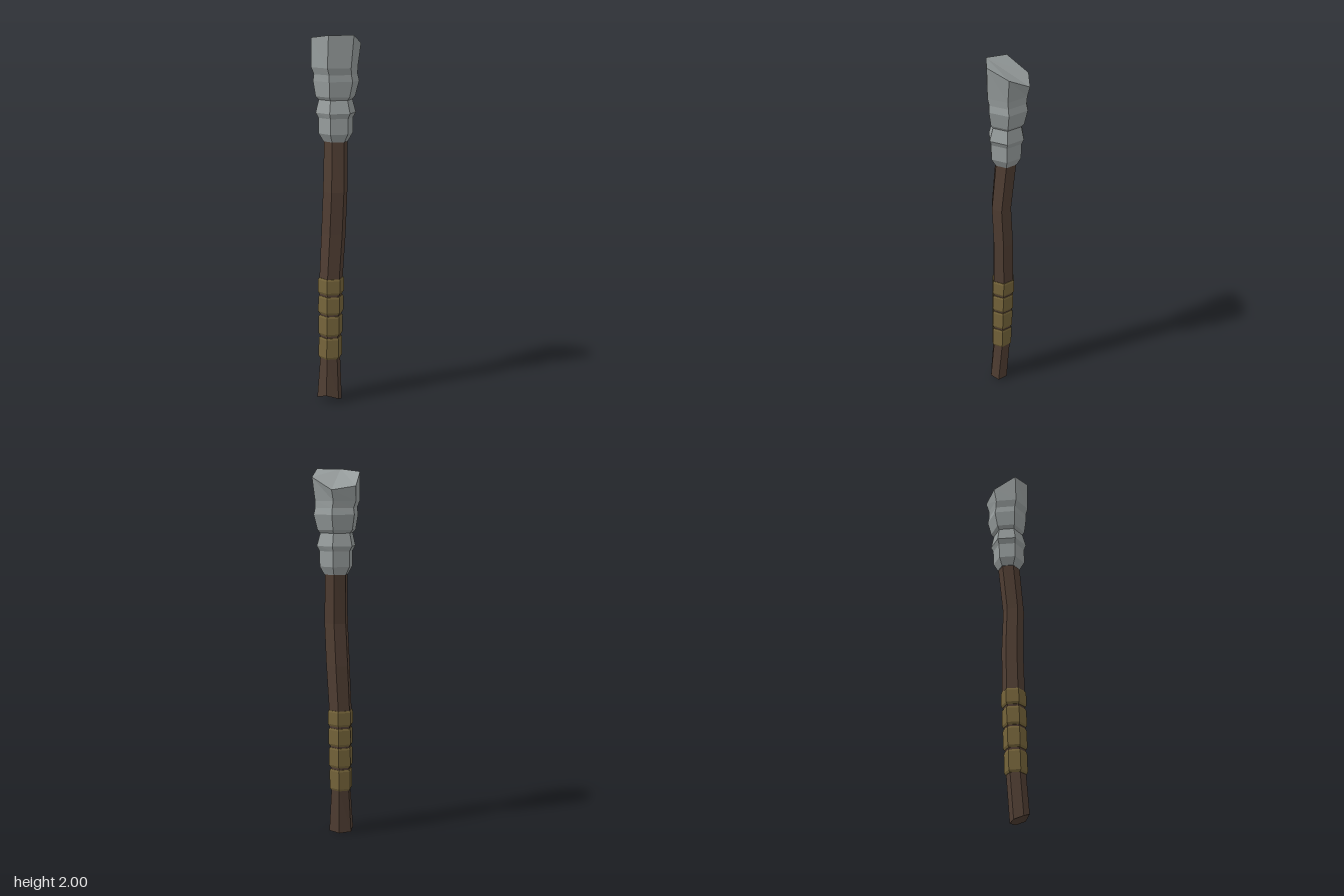
import * as THREE from 'three';

const SIDES = 6;
const START = 97; // degrees, a corner faces the front

// One six-sided ring: y, then the x and z extents, with optional corner heights
function ring([y, x0, x1, z0, z1, lifts]) {
  const points = [];
  for (let i = 0; i < SIDES; i++) {
    const a = THREE.MathUtils.degToRad(START + (i * 360) / SIDES);
    points.push([
      (x0 + x1) / 2 + (Math.cos(a) / 0.92) * (x1 - x0) / 2,
      y + (lifts ? lifts[i] : 0),
      (z0 + z1) / 2 + (Math.sin(a) / 0.99) * (z1 - z0) / 2,
    ]);
  }
  return points;
}

// Closed faceted loft through a list of rings, bottom to top
function loft(name, rows, material) {
  const rings = rows.map(ring);
  const pos = [];
  const tri = (a, b, c) => pos.push(...a, ...b, ...c);
  for (let r = 0; r < rings.length - 1; r++) {
    for (let i = 0; i < SIDES; i++) {
      const j = (i + 1) % SIDES;
      const lo = rings[r], hi = rings[r + 1];
      tri(lo[i], hi[i], hi[j]);
      tri(lo[i], hi[j], lo[j]);
    }
  }
  const bottom = rings[0], top = rings[rings.length - 1];
  for (let i = 1; i < SIDES - 1; i++) {
    tri(bottom[0], bottom[i], bottom[i + 1]);
    tri(top[0], top[i + 1], top[i]);
  }
  const geometry = new THREE.BufferGeometry();
  geometry.setAttribute('position', new THREE.Float32BufferAttribute(pos, 3));
  geometry.computeVertexNormals();
  const mesh = new THREE.Mesh(geometry, material);
  mesh.name = name;
  return mesh;
}

export function createModel() {
  const wood = new THREE.MeshStandardMaterial({ color: 0x503e33, flatShading: true });
  wood.name = 'dark wood';
  const cloth = new THREE.MeshStandardMaterial({ color: 0x75643a, flatShading: true });
  cloth.name = 'ochre wrap';
  const stone = new THREE.MeshStandardMaterial({ color: 0x979d9d, flatShading: true });
  stone.name = 'grey stone';

  const group = new THREE.Group();
  group.name = 'club';

  // Bent shaft with a slanted foot
  const shaft = [
    [0, -0.09, 0.04, 0.012, 0.112, [0.042, 0.02, 0.004, 0, 0.006, 0.022]],
    [0.25, -0.076, 0.027, -0.006, 0.096],
    [0.7, -0.081, 0.038, -0.026, 0.092],
    [0.95, -0.071, 0.053, -0.03, 0.086],
    [1.18, -0.06, 0.063, -0.022, 0.091],
    [1.46, -0.058, 0.058, -0.05, 0.068],
  ];
  group.add(loft('shaft', shaft, wood));

  // Grip wraps follow the shaft and flare a little at the lower rim
  const gripRow = (y, grow) => {
    const t = (y - 0.25) / 0.45;
    const mix = (k) => THREE.MathUtils.lerp(shaft[1][k], shaft[2][k], t);
    return [y, mix(1) - grow, mix(2) + grow, mix(3) - grow, mix(4) + grow];
  };
  const bands = [[0.248, 0.368], [0.38, 0.492], [0.502, 0.602], [0.614, 0.702]];
  bands.forEach(([y0, y1], i) => {
    group.add(loft(`gripWrap${i + 1}`, [
      gripRow(y0, 0.003),
      gripRow(y0 + 0.012, 0.009),
      gripRow(y1 - 0.01, 0.007),
      gripRow(y1, 0.003),
    ], cloth));
  });

  // Stepped head with a slanted top
  group.add(loft('head', [
    [1.445, -0.062, 0.062, -0.052, 0.07],
    [1.488, -0.085, 0.085, -0.076, 0.096],
    [1.57, -0.086, 0.086, -0.079, 0.095],
    [1.597, -0.101, 0.1, -0.091, 0.105],
    [1.665, -0.086, 0.082, -0.076, 0.086],
    [1.682, -0.102, 0.096, -0.091, 0.097],
    [1.762, -0.115, 0.115, -0.111, 0.107],
    [1.797, -0.11, 0.107, -0.103, 0.106],
    [1.833, -0.123, 0.108, -0.105, 0.117],
    [1.95, -0.124, 0.123, -0.121, 0.118, [0.05, 0.035, -0.04, -0.06, 0.005, 0.05]],
  ], stone));

  return group;
}
